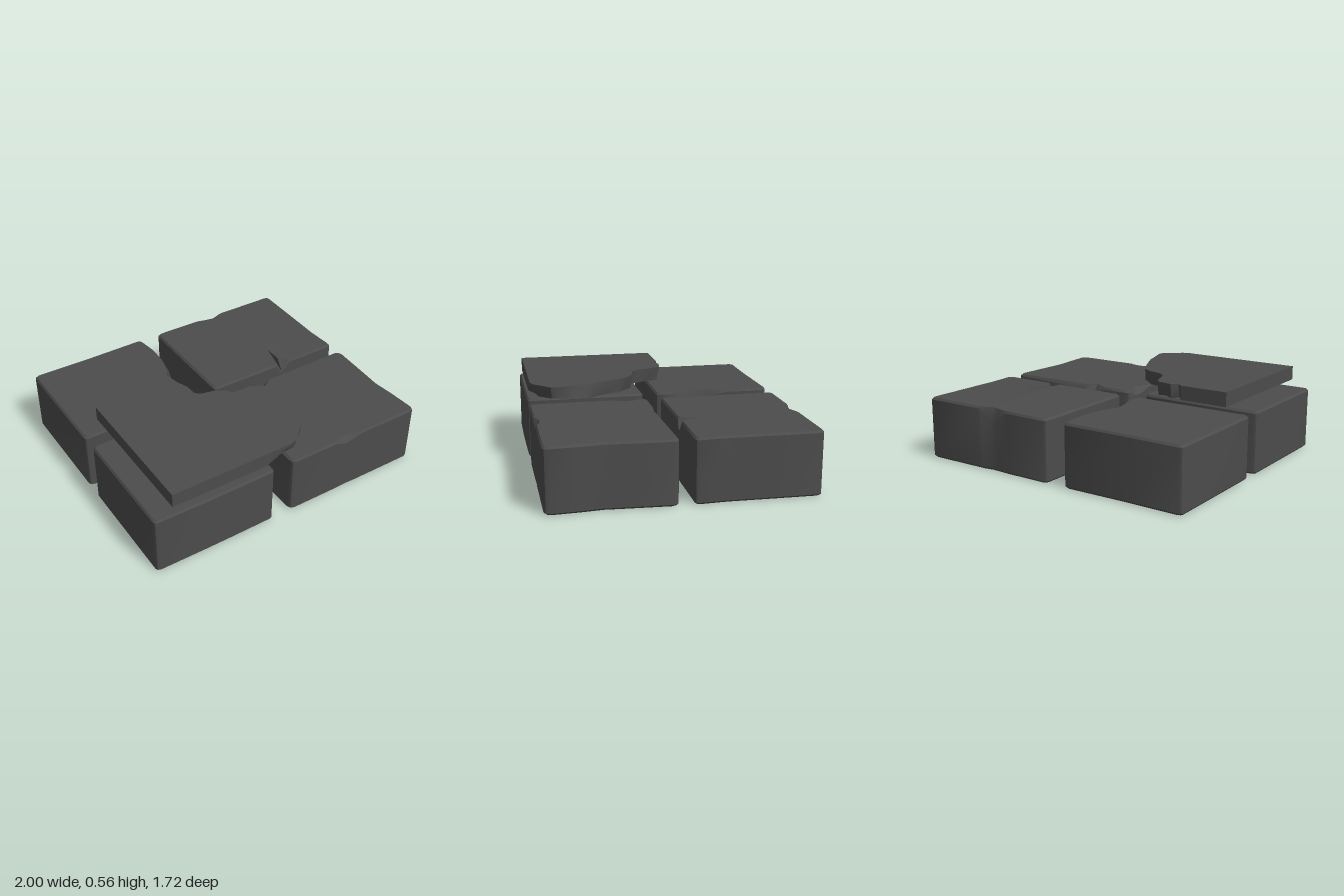
import * as THREE from 'three';
import { toCreasedNormals } from 'three/addons/utils/BufferGeometryUtils.js';

const stone = new THREE.MeshStandardMaterial({ color: 0x4c4c4c });
stone.name = 'darkStone';

// Skins a stack of equal-length rings of Vector3 and caps both ends
function loft(rings) {
  const n = rings[0].length;
  const pos = [];
  const tri = (a, b, c) => pos.push(...a.toArray(), ...b.toArray(), ...c.toArray());
  for (let k = 0; k + 1 < rings.length; k++) {
    const lo = rings[k], hi = rings[k + 1];
    for (let i = 0; i < n; i++) {
      const j = (i + 1) % n;
      tri(lo[i], lo[j], hi[j]);
      tri(lo[i], hi[j], hi[i]);
    }
  }
  const cap = (ring, up) => {
    const flat = ring.map(p => new THREE.Vector2(p.x, -p.z));
    for (const [a, b, c] of THREE.ShapeUtils.triangulateShape(flat, []))
      up ? tri(ring[a], ring[b], ring[c]) : tri(ring[a], ring[c], ring[b]);
  };
  cap(rings[0], false);
  cap(rings[rings.length - 1], true);
  const geo = new THREE.BufferGeometry();
  geo.setAttribute('position', new THREE.Float32BufferAttribute(pos, 3));
  return toCreasedNormals(geo, 0.6);
}

// Outline points are [x, z, chipX, chipZ, drop], listed clockwise from above;
// the chip moves the top edge inward and the drop lowers the side below it
function block(name, outline) {
  const pts = outline.slice().reverse();
  const xs = pts.map(p => p[0]), zs = pts.map(p => p[1]);
  const cx = (Math.min(...xs) + Math.max(...xs)) / 2;
  const cz = (Math.min(...zs) + Math.max(...zs)) / 2;
  const ring = (y, s, top) => pts.map(([x, z, dx = 0, dz = 0, drop = 0]) =>
    new THREE.Vector3(
      cx + (x - cx) * s + (top === 2 ? dx : 0),
      y - (top === 1 ? drop : 0),
      cz + (z - cz) * s + (top === 2 ? dz : 0)));
  const mesh = new THREE.Mesh(
    loft([ring(0, 0.975), ring(0.012, 1), ring(0.406, 1, 1), ring(0.42, 0.975, 2)]), stone);
  mesh.name = name;
  return mesh;
}

// Outline with softened corners; each side takes extra worn points
function wornRect(x0, x1, z0, z1, { back = [], right = [], front = [], left = [], r = 0.025 }) {
  const c = r * 0.3;
  return [
    [x0 + c, z0 + c], [x0 + r, z0], ...back, [x1 - r, z0],
    [x1 - c, z0 + c], [x1, z0 + r], ...right, [x1, z1 - r],
    [x1 - c, z1 - c], [x1 - r, z1], ...front, [x0 + r, z1],
    [x0 + c, z1 - c], [x0, z1 - r], ...left, [x0, z0 + r],
  ];
}

export function createModel() {
  const group = new THREE.Group();
  group.name = 'brokenPaving';

  group.add(block('backLeftBlock', wornRect(-1, -0.145, -0.86, -0.05, {
    right: [[-0.13, -0.72], [-0.135, -0.57], [-0.15, -0.45, -0.01, 0, 0.02],
      [-0.155, -0.36, -0.045, 0, 0.12], [-0.15, -0.25, -0.03, 0, 0.08], [-0.15, -0.17]],
    back: [[-0.6, -0.855]],
  })));

  group.add(block('backRightBlock', wornRect(-0.01, 1, -0.86, -0.05, {
    back: [[0.33, -0.858], [0.4, -0.852, 0, 0.012, 0.05], [0.46, -0.85, 0, 0.02, 0.09],
      [0.53, -0.86, 0, 0.005, 0.03], [0.56, -0.86]],
    right: [[0.995, -0.5], [0.99, -0.25]],
    front: [[0.62, -0.05], [0.58, -0.05, -0.01, -0.06, 0.05], [0.56, -0.05, 0.01, -0.18, 0.06],
      [0.54, -0.05, -0.01, -0.06, 0.05], [0.52, -0.05]],
  })));

  group.add(block('frontLeftBlock', wornRect(-1, -0.145, 0.045, 0.857, {
    front: [[-0.45, 0.86], [-0.65, 0.86]],
    left: [[-1, 0.65], [-1, 0.35]],
  })));

  group.add(block('frontRightBlock', wornRect(-0.01, 1, 0.045, 0.857, {
    r: 0.035,
    back: [[0.2, 0.045], [0.26, 0.045, 0, 0.03, 0.03], [0.3, 0.045, 0, 0.05, 0.05],
      [0.36, 0.045, 0, 0.01, 0.02]],
    right: [[0.985, 0.35], [0.975, 0.5], [0.99, 0.65]],
    front: [[0.52, 0.857], [0.48, 0.855, 0, -0.015, 0.02], [0.42, 0.855, -0.01, -0.025, 0.03],
      [0.34, 0.857]],
    left: [[-0.01, 0.3], [-0.008, 0.2, 0.04, 0, 0.03], [-0.005, 0.13, 0.02, 0, 0.03]],
  })));

  // Snapped slab: [x, z, inset of the underside, underside height]
  const slab = [
    [-0.87, -0.13], [-0.54, -0.13], [-0.5, -0.1, 0.02], [-0.46, -0.13, 0.01],
    [-0.39, -0.12, 0.04], [-0.34, -0.1, 0.01], [-0.31, -0.03, 0.03], [-0.28, 0.06, 0],
    [-0.22, 0.11, 0.03], [-0.13, 0.13, 0.01], [-0.06, 0.17, 0.03], [-0.02, 0.24, 0],
    [0.03, 0.34, 0.02], [0.09, 0.47, -0.025], [0.12, 0.58, -0.02, 0.48],
    [0.155, 0.69, 0.01, 0.488], [0.15, 0.72, 0.01, 0.488], [0.07, 0.79, 0.03, 0.48],
    [0.03, 0.83, 0.06], [-0.03, 0.845, 0.07], [-0.2, 0.845, 0], [-0.87, 0.845],
  ].reverse();
  const underside = slab.map(([x, z, inset = 0, y = 0.47]) => {
    const dir = new THREE.Vector2(-0.45 - x, 0.4 - z).normalize();
    return new THREE.Vector3(x + dir.x * inset, y, z + dir.y * inset);
  });
  const ledge = slab.map(([x, z, inset = 0], i) =>
    new THREE.Vector3(x - inset * 0.3, inset ? 0.515 + 0.015 * (i % 3) : 0.52, z));
  const top = slab.map(([x, z]) => new THREE.Vector3(x, 0.565, z));
  const slabMesh = new THREE.Mesh(loft([underside, ledge, top]), stone);
  slabMesh.name = 'brokenSlab';
  group.add(slabMesh);

  return group;
}
